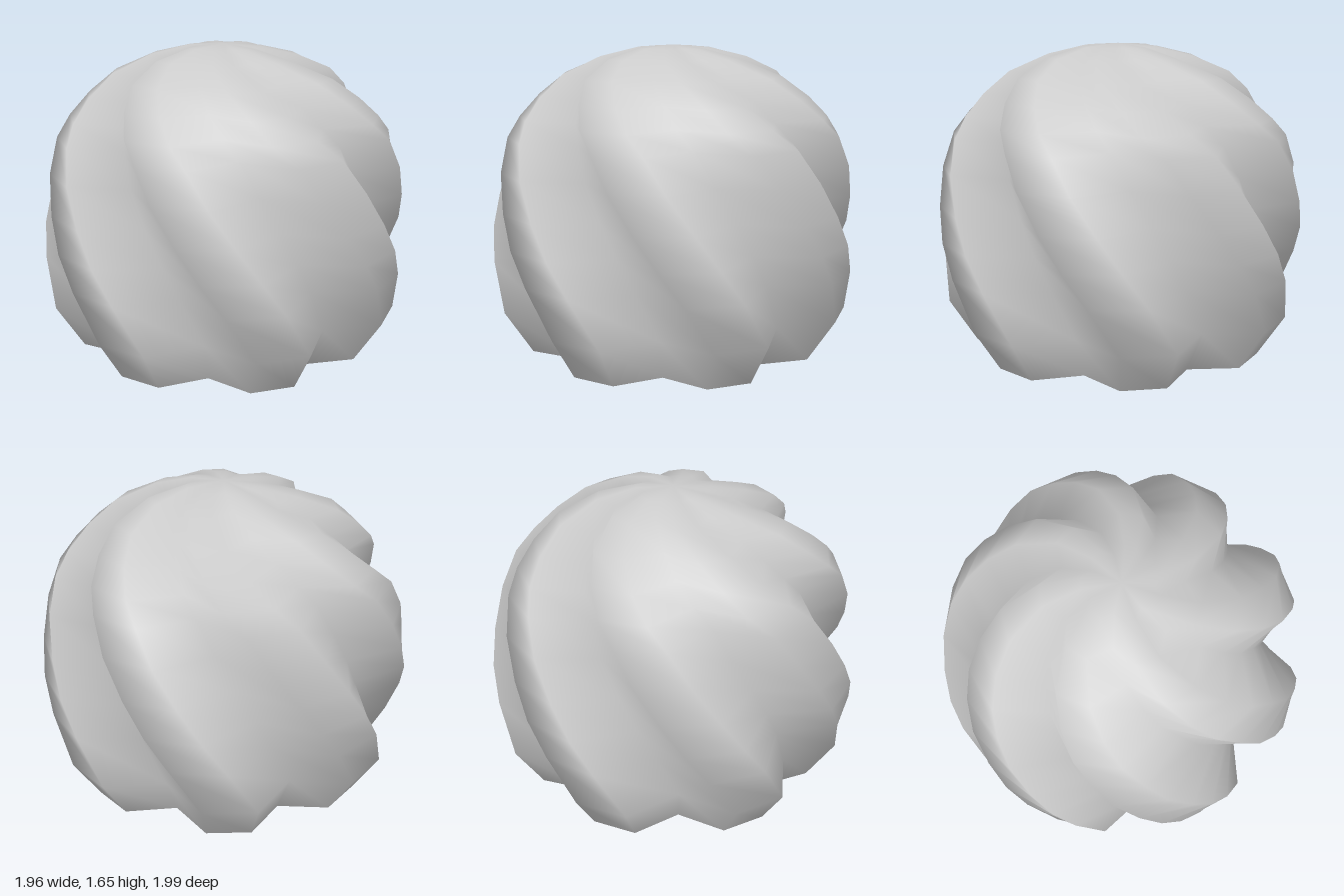
import * as THREE from 'three';

const LOBES = 7;
const COLUMNS = LOBES * 3; // each lobe: two ridge columns and one groove column
const GROOVE = 0.78; // groove radius relative to the ridge

// Rings from top to base: [ridge radius, height, twist in degrees]
const RINGS = [
  [0.2, 1.64, -107], [0.4, 1.59, -101], [0.6, 1.5, -91], [0.73, 1.39, -83],
  [0.83, 1.28, -76], [0.9, 1.18, -69], [0.955, 1.01, -62], [0.985, 0.82, -54],
  [1, 0.65, -47], [0.99, 0.48, -40], [0.95, 0.23, -31], [0.8, 0, -31],
];

// Open-bottomed dome with spiralling lobes, lofted ring by ring
function twistedDome() {
  const positions = [0, 1.655, 0]; // crown point
  const index = [];
  for (const [radius, y, twist] of RINGS) {
    for (let j = 0; j < COLUMNS; j++) {
      const r = radius * (j % 3 === 2 ? GROOVE : 1);
      const a = THREE.MathUtils.degToRad(twist + (j * 360) / COLUMNS);
      positions.push(r * Math.sin(a), y, r * Math.cos(a));
    }
  }
  const at = (i, j) => 1 + i * COLUMNS + (j % COLUMNS);
  for (let j = 0; j < COLUMNS; j++) {
    index.push(0, at(0, j), at(0, j + 1)); // crown fan
    for (let i = 0; i < RINGS.length - 1; i++) {
      const a = at(i, j), b = at(i + 1, j), c = at(i + 1, j + 1), d = at(i, j + 1);
      index.push(a, b, c, a, c, d);
    }
  }
  const geometry = new THREE.BufferGeometry();
  geometry.setAttribute('position', new THREE.Float32BufferAttribute(positions, 3));
  geometry.setIndex(index);
  geometry.computeVertexNormals();
  return geometry;
}

export function createModel() {
  const group = new THREE.Group();
  const material = new THREE.MeshStandardMaterial({ color: 0xcccccc, side: THREE.DoubleSide });
  const dome = new THREE.Mesh(twistedDome(), material);
  dome.name = 'twistedDome';
  group.add(dome);
  return group;
}
